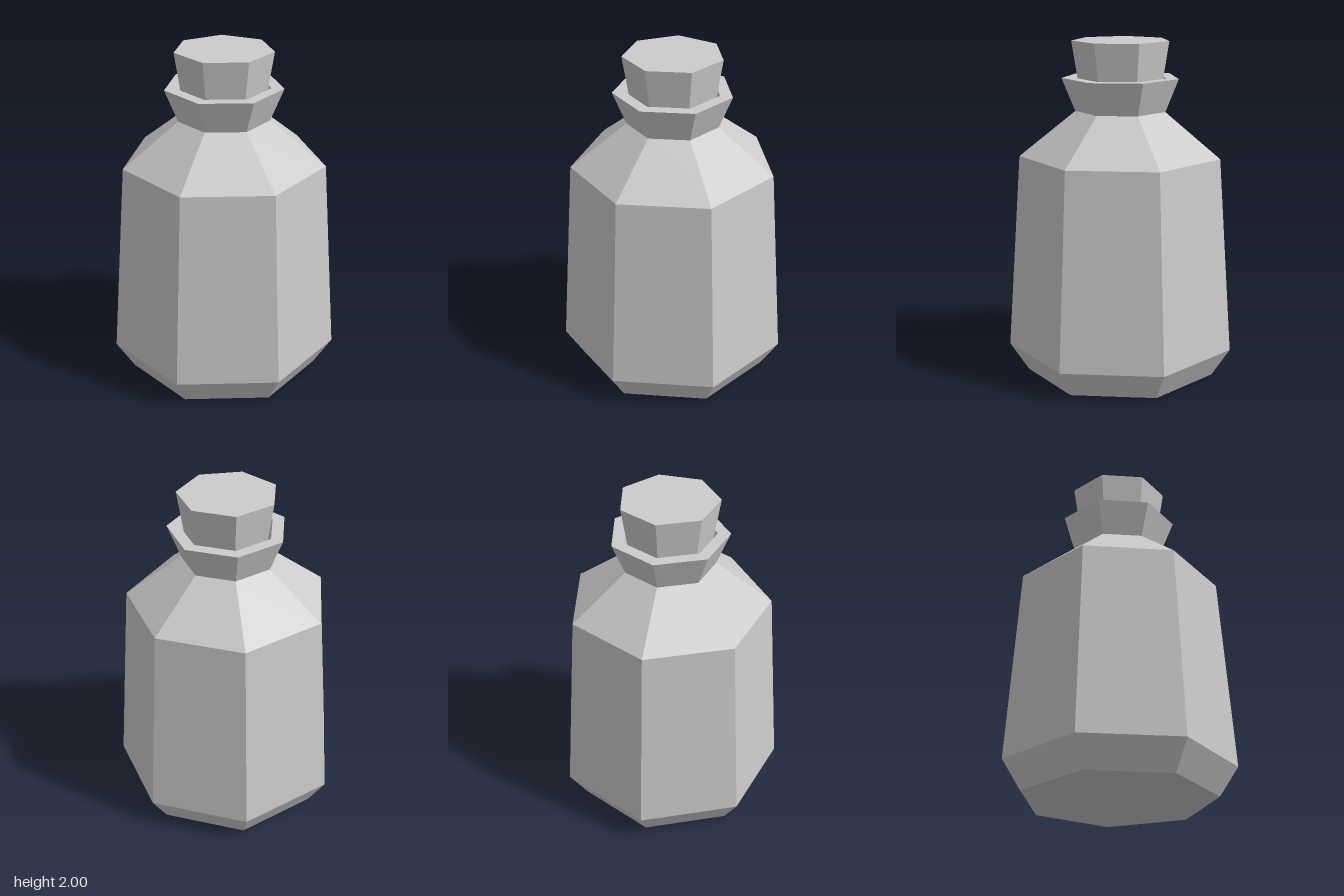
import * as THREE from 'three';

const SIDES = 7;

// Seven-sided turned part with one corner pointing to the back
function turned(name, profile, material) {
  const points = profile.map(([r, y]) => new THREE.Vector2(r, y));
  const geometry = new THREE.LatheGeometry(points, SIDES, Math.PI).toNonIndexed();
  geometry.computeVertexNormals();
  const mesh = new THREE.Mesh(geometry, material);
  mesh.name = name;
  mesh.position.z = 0.033; // centres the odd-sided outline front to back
  return mesh;
}

export function createModel() {
  const group = new THREE.Group();
  group.name = 'bottle';
  const material = new THREE.MeshStandardMaterial({ color: 0xcccccc, flatShading: true });

  // Chamfered base, tapering body, sloped shoulder, flared lip and mouth recess
  group.add(turned('bottleBody', [
    [0, 0], [0.574, 0], [0.684, 0.17], [0.603, 1.33], [0.271, 1.59],
    [0.35, 1.785], [0.275, 1.785], [0.24, 1.64], [0, 1.64],
  ], material));

  // Tapered stopper seated inside the mouth
  group.add(turned('stopper', [
    [0, 1.65], [0.235, 1.65], [0.291, 2], [0, 2],
  ], material));

  return group;
}
